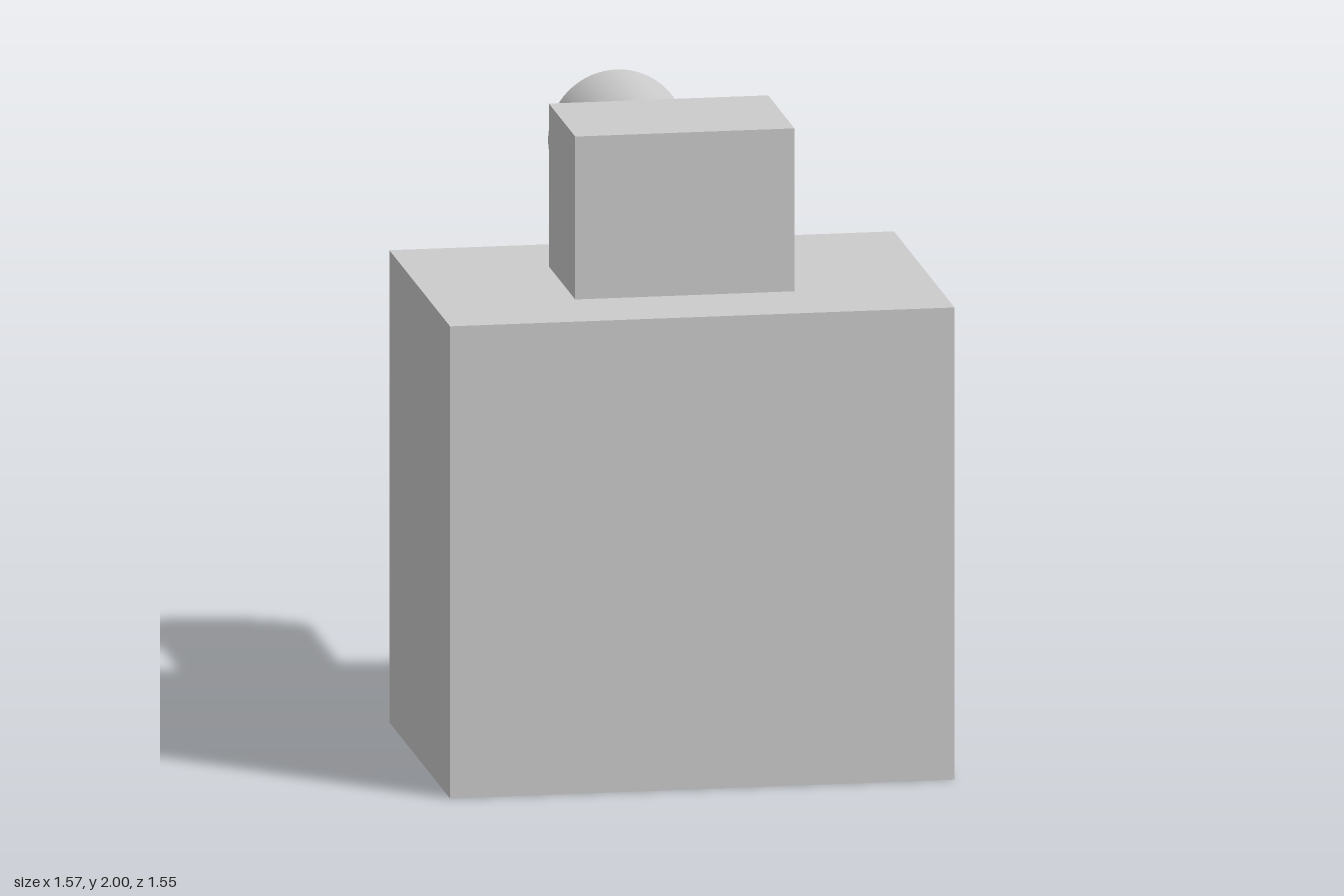
import * as THREE from 'three';

const material = new THREE.MeshStandardMaterial({ color: 0xcccccc });

// Box given by its minimum and maximum corners
function box(name, min, max) {
  const size = max.map((v, i) => v - min[i]);
  const mesh = new THREE.Mesh(new THREE.BoxGeometry(...size), material);
  mesh.position.set(...max.map((v, i) => (v + min[i]) / 2));
  mesh.name = name;
  return mesh;
}

// Solid cylinder running from one point to another
function rod(name, from, to, radius) {
  const axis = to.clone().sub(from);
  const mesh = new THREE.Mesh(new THREE.CylinderGeometry(radius, radius, axis.length(), 64), material);
  mesh.position.copy(from).add(to).multiplyScalar(0.5);
  mesh.quaternion.setFromUnitVectors(new THREE.Vector3(0, 1, 0), axis.normalize());
  mesh.name = name;
  return mesh;
}

export function createModel() {
  const model = new THREE.Group();
  model.name = 'blockWithRearCylinder';

  // Large base block and the smaller block standing on it
  model.add(box('body', [-0.787, 0, -0.32], [0.787, 1.487, 0.775]));
  model.add(box('topBlock', [-0.343, 1.487, -0.01], [0.341, 2, 0.465]));

  // Cylinder leaving the back of the top block, sloping down very slightly
  model.add(rod('rearCylinder',
    new THREE.Vector3(0, 1.724, 0.05), new THREE.Vector3(0, 1.713, -0.772), 0.214));

  return model;
}
